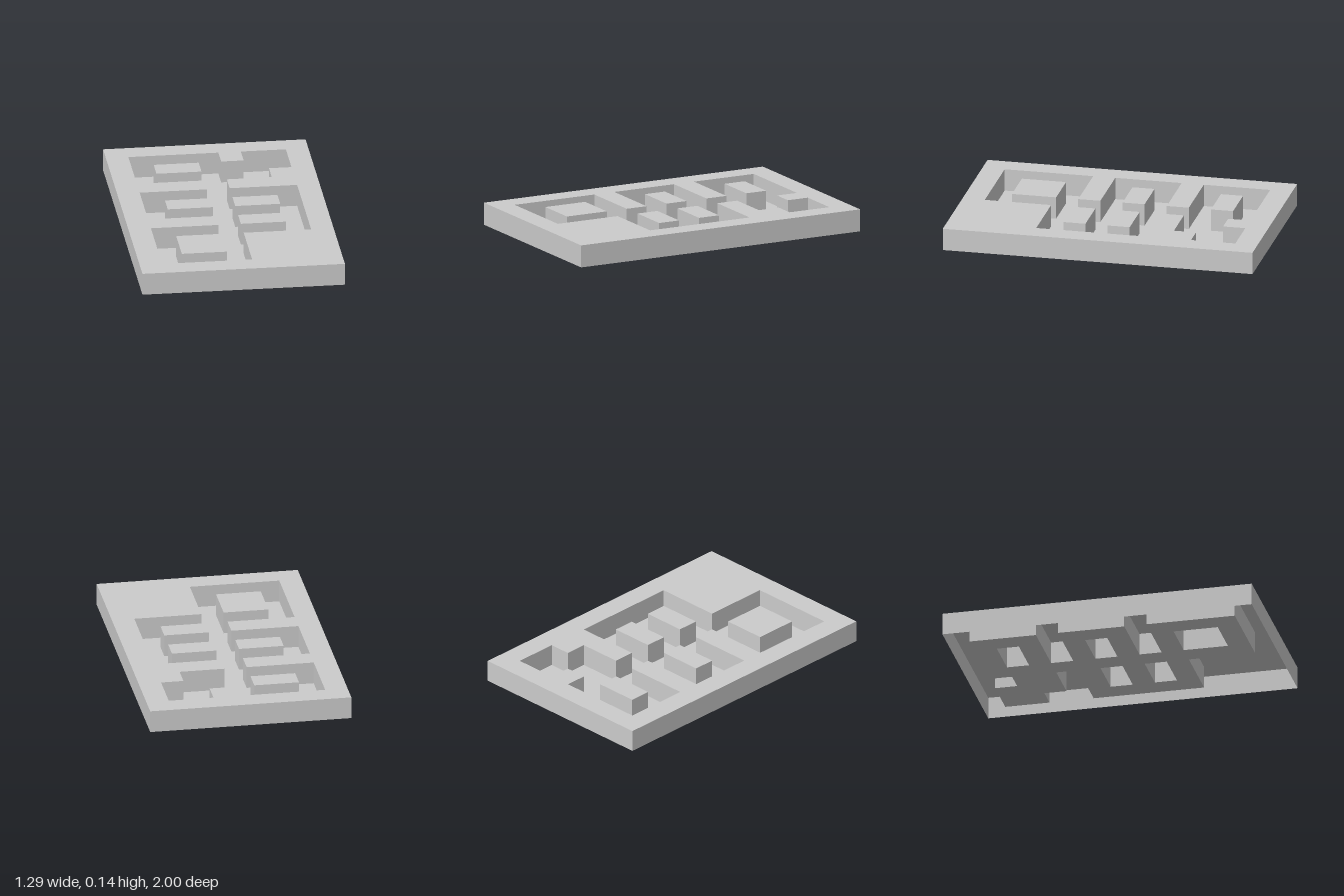
import * as THREE from 'three';

const CELL = 1 / 7;          // plan is laid out on a 9 x 14 grid
const HEIGHT = CELL;

// Grid column and row to plan coordinates (shape y is -z)
const toPlan = ([col, row]) => new THREE.Vector2((col - 4.5) * CELL, (7 - row) * CELL);
const rect = (c0, r0, c1, r1) => [[c0, r0], [c0, r1], [c1, r1], [c1, r0]].map(toPlan);

const border = rect(0, 0, 9, 14);
const recess = [
  [1, 1], [1, 4], [4, 4], [4, 5], [1, 5], [1, 8], [4, 8], [4, 9],
  [1, 9], [1, 13], [5, 13], [5, 10], [8, 10], [8, 5], [5, 5], [5, 4],
  [7, 4], [7, 3], [8, 3], [8, 1], [6, 1], [6, 2], [5, 2], [5, 1],
].map(toPlan);
const islands = [
  rect(2, 2, 4, 3), rect(2, 6, 4, 7), rect(5, 6, 7, 7),
  rect(5, 8, 7, 9), rect(2, 10, 4, 12),
];

// Flat horizontal sheet with optional holes
function sheet(outline, holes, y) {
  const shape = new THREE.Shape(outline);
  shape.holes = holes.map((h) => new THREE.Path(h));
  return new THREE.ShapeGeometry(shape).rotateX(-Math.PI / 2).translate(0, y, 0);
}

// Vertical wall following a closed outline; inward walls face the enclosed area
function wall(outline, inward = false) {
  const pts = inward ? [...outline].reverse() : outline;
  const pos = [];
  pts.forEach((a, i) => {
    const b = pts[(i + 1) % pts.length];
    const [a0, b0] = [[a.x, 0, -a.y], [b.x, 0, -b.y]];
    const [a1, b1] = [[a.x, HEIGHT, -a.y], [b.x, HEIGHT, -b.y]];
    pos.push(...a0, ...b0, ...b1, ...a0, ...b1, ...a1);
  });
  const geo = new THREE.BufferGeometry();
  geo.setAttribute('position', new THREE.Float32BufferAttribute(pos, 3));
  geo.computeVertexNormals();
  return geo;
}

export function createModel() {
  const model = new THREE.Group();
  model.name = 'mazeTray';
  const material = new THREE.MeshStandardMaterial({
    color: 0xcccccc, flatShading: true, side: THREE.DoubleSide,
  });
  const add = (name, geometry, parent = model) => {
    const mesh = new THREE.Mesh(geometry, material);
    mesh.name = name;
    parent.add(mesh);
  };

  // Hollow slab, open underneath
  add('topSurface', sheet(border, [recess], HEIGHT));
  add('outerWall', wall(border));

  // Sunken channel with its floor at ground level
  add('recessWall', wall(recess, true));
  add('recessFloor', sheet(recess, islands, 0));

  // Hollow blocks standing in the channel
  islands.forEach((outline, i) => {
    const island = new THREE.Group();
    island.name = `island${i + 1}`;
    add('islandTop', sheet(outline, [], HEIGHT), island);
    add('islandWall', wall(outline), island);
    model.add(island);
  });
  return model;
}
